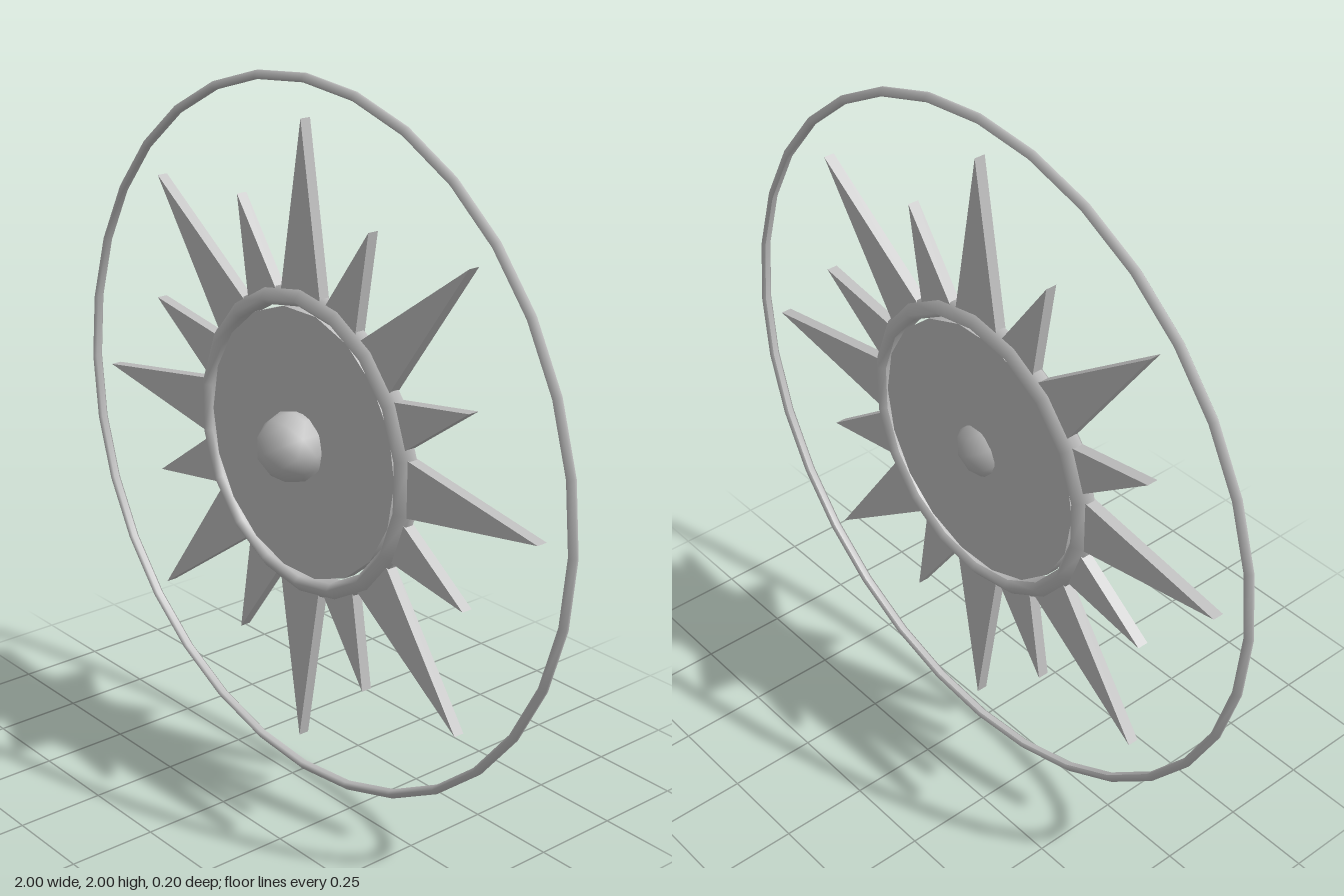
import * as THREE from 'three';

const metal = new THREE.MeshStandardMaterial({ color: 0xc0c0c0 });
metal.name = 'silver grey';

const PLANE_Z = -0.042; // middle plane of rings, rays and disc

// Ring around z, swept from a small closed profile of [radius, z] points
function ring(name, profile, segments) {
  const points = [...profile, profile[0]].map(([r, z]) => new THREE.Vector2(r, z));
  const geometry = new THREE.LatheGeometry(points, segments);
  geometry.rotateX(Math.PI / 2);
  const mesh = new THREE.Mesh(geometry, metal);
  mesh.name = name;
  mesh.position.z = PLANE_Z;
  return mesh;
}

// Flat triangular ray pointing away from the centre
function ray(name, tip, base, halfWidth, angle) {
  const shape = new THREE.Shape();
  shape.moveTo(base, -halfWidth);
  shape.lineTo(tip, 0);
  shape.lineTo(base, halfWidth);
  shape.closePath();
  const depth = 0.032;
  const geometry = new THREE.ExtrudeGeometry(shape, { depth, bevelEnabled: false });
  geometry.translate(0, 0, -depth / 2);
  const mesh = new THREE.Mesh(geometry, metal);
  mesh.name = name;
  mesh.rotation.z = angle;
  mesh.position.z = PLANE_Z;
  return mesh;
}

export function createModel() {
  const model = new THREE.Group();
  model.name = 'sunburst';
  const sun = new THREE.Group();
  sun.name = 'sun';
  sun.position.y = 1;
  model.add(sun);

  // Thin outer hoop
  sun.add(ring('outerRing', [
    [0.976, -0.008], [0.984, -0.016], [0.999, -0.004],
    [0.999, 0.004], [0.984, 0.016], [0.976, 0.008],
  ], 32));

  // Thick ring around the disc
  sun.add(ring('innerRing', [
    [0.388, -0.02], [0.404, -0.038], [0.438, -0.012],
    [0.438, 0.012], [0.404, 0.038], [0.388, 0.02],
  ], 18));

  // Alternating long and short rays
  for (let i = 0; i < 16; i++) {
    const angle = (i * Math.PI) / 8;
    sun.add(i % 2 === 0
      ? ray('longRay', 0.885, 0.405, 0.082, angle)
      : ray('shortRay', 0.693, 0.405, 0.068, angle));
  }

  // Central disc
  const discGeometry = new THREE.CylinderGeometry(0.38, 0.38, 0.036, 18, 1, false, Math.PI / 2);
  discGeometry.rotateX(Math.PI / 2);
  const disc = new THREE.Mesh(discGeometry, metal);
  disc.name = 'disc';
  disc.position.z = PLANE_Z;
  sun.add(disc);

  // Central boss, with smooth normals
  const bossGeometry = new THREE.IcosahedronGeometry(0.1, 1);
  const p = bossGeometry.attributes.position;
  const n = bossGeometry.attributes.normal;
  for (let i = 0; i < p.count; i++) {
    n.setXYZ(i, p.getX(i) * 10, p.getY(i) * 10, p.getZ(i) * 10);
  }
  const boss = new THREE.Mesh(bossGeometry, metal);
  boss.name = 'boss';
  sun.add(boss);

  return model;
}
